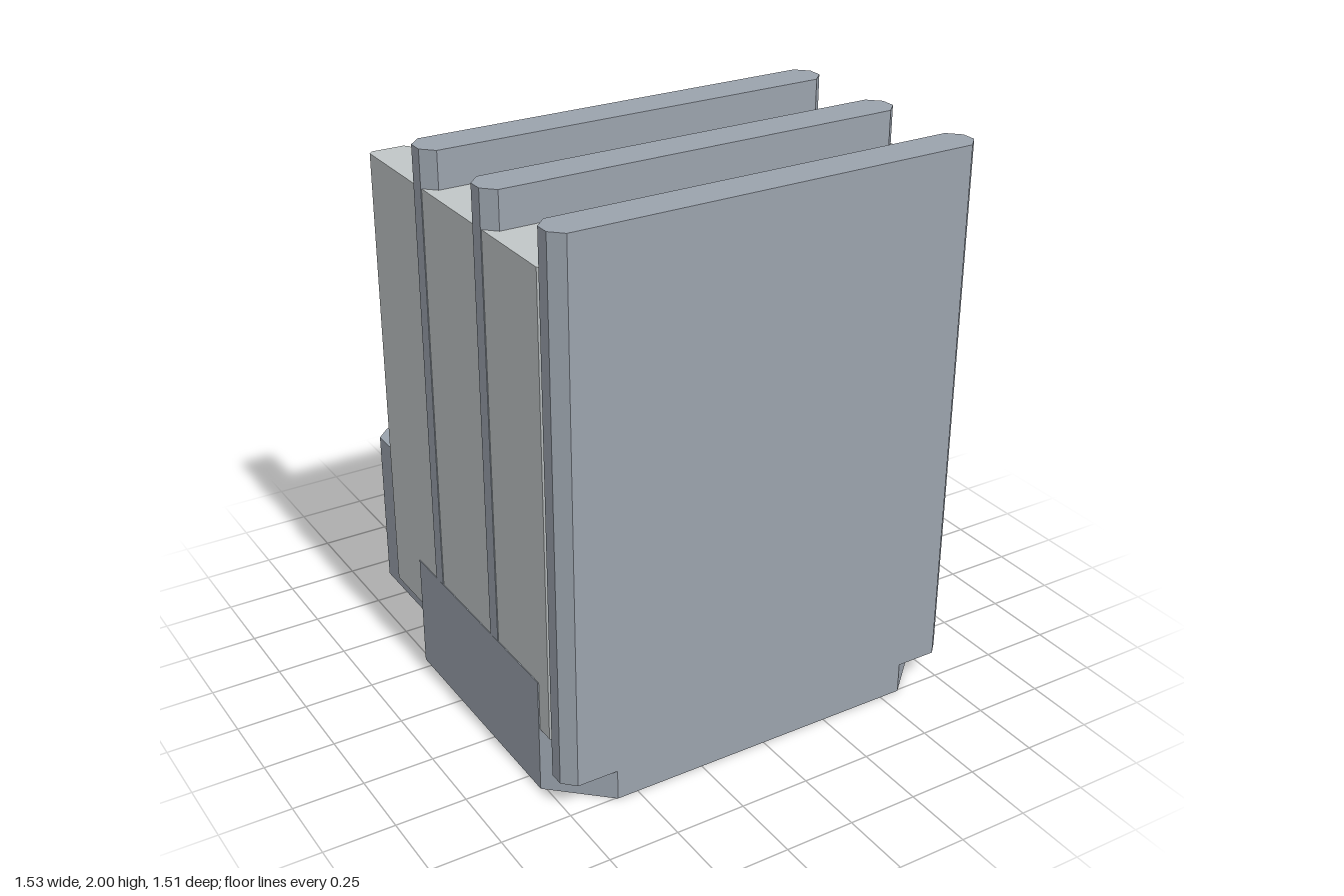
import * as THREE from 'three';

const mat = (name, color) => {
  const m = new THREE.MeshStandardMaterial({ color });
  m.name = name;
  return m;
};

export function createModel() {
  const model = new THREE.Group();
  model.name = 'towerBlock';
  const grey = mat('blue grey concrete', 0x9ba3ad);
  const light = mat('pale panel', 0xc1c6c7);
  const dark = mat('dark slate', 0x455564);
  const cyan = mat('cyan glass', 0x45b1d2);

  // Upright prism from a plan outline of [x, z] points
  const prism = (name, pts, y0, y1, material, parent = model) => {
    const shape = new THREE.Shape(pts.map(([x, z]) => new THREE.Vector2(x, z)));
    const geo = new THREE.ExtrudeGeometry(shape, { depth: y1 - y0, bevelEnabled: false });
    geo.rotateX(Math.PI / 2).translate(0, y1, 0);
    const mesh = new THREE.Mesh(geo, material);
    mesh.name = name;
    parent.add(mesh);
    return mesh;
  };
  // Rectangle plan with cut corners
  const cut = (x0, x1, z0, z1, cx, cz = cx) => [
    [x0 + cx, z0], [x1 - cx, z0], [x1, z0 + cz], [x1, z1 - cz],
    [x1 - cx, z1], [x0 + cx, z1], [x0, z1 - cz], [x0, z0 + cz],
  ];
  const box = (name, x0, x1, y0, y1, z0, z1, material, parent = model) => {
    const mesh = new THREE.Mesh(new THREE.BoxGeometry(x1 - x0, y1 - y0, z1 - z0), material);
    mesh.position.set((x0 + x1) / 2, (y0 + y1) / 2, (z0 + z1) / 2);
    mesh.name = name;
    parent.add(mesh);
    return mesh;
  };

  // Base with wide cut corners, and the dark deck on it
  prism('base', cut(-0.766, 0.766, -0.472, 0.755, 0.19, 0.176), 0, 0.42, grey);
  prism('deck', cut(-0.7, 0.7, -0.472, 0.7, 0.125, 0.116), 0.42, 0.51, dark);

  // Three wide upright slabs
  const slabs = [[0.62, 0.755], [0.208, 0.345], [-0.203, -0.066]];
  for (const [z0, z1] of slabs) {
    prism('slab', cut(-0.765, 0.765, z0, z1, 0.042), 0.11, 2, grey);
  }

  // Side panels, with fillets where they meet the slabs
  for (const s of [-1, 1]) {
    const xs = [0.62 * s, 0.763 * s].sort((a, b) => a - b);
    prism('sidePanel', cut(xs[0], xs[1], -0.517, 0.66, 0.015), 0.24, 1.87, light);
    const corners = [[0.62, -1], [0.345, 1], [0.208, -1], [-0.066, 1], [-0.203, -1]];
    for (const [z, d] of corners) {
      const dz = d * 0.052;
      prism('panelFillet', [[0.63 * s, z], [0.568 * s, z], [0.62 * s, z + dz], [0.63 * s, z + dz]],
        0.24, 1.87, light);
    }
    prism('rearFillet', [[0.63 * s, -0.203], [0.568 * s, -0.203], [0.62 * s, -0.255], [0.63 * s, -0.255]],
      0.24, 1.87, light);
  }

  // Rear annex
  prism('annex', cut(-0.715, -0.275, -0.755, -0.28, 0.05), 0.135, 0.715, grey);

  // Louvred window units on the rear slab
  const windowUnit = (x, y) => {
    const g = new THREE.Group();
    g.name = 'window';
    box('windowBack', -0.12, 0.12, 0, 0.38, -0.222, -0.2, dark, g);
    box('lintel', -0.15, 0.15, 0.345, 0.38, -0.256, -0.2, grey, g);
    box('sill', -0.162, 0.162, 0, 0.025, -0.29, -0.2, grey, g);
    box('sillLedge', -0.085, 0.085, 0.025, 0.05, -0.272, -0.2, light, g);
    for (const s of [-1, 1]) {
      // Jamb with a waist, and an outer cap
      prism('jamb', [[0.085, -0.2], [0.16, -0.2], [0.16, -0.232], [0.15, -0.242], [0.162, -0.256],
        [0.162, -0.272], [0.145, -0.288], [0.1, -0.288], [0.085, -0.272]].map(([a, z]) => [a * s, z]),
        0.02, 0.38, grey, g);
      prism('jambCap', [[0.115, -0.286], [0.168, -0.286], [0.172, -0.304], [0.13, -0.304]]
        .map(([a, z]) => [a * s, z]), 0.01, 0.385, light, g);
    }
    for (let i = 0; i < 5; i++) {
      const slat = box('louvre', -0.088, 0.088, 0, 0.04, -0.272, -0.264, cyan, g);
      slat.position.y = 0.083 + i * 0.063;
      slat.position.z = -0.264;
      slat.rotation.x = -0.4;
    }
    g.position.set(x, y, 0);
    model.add(g);
  };
  for (const x of [-0.398, 0.398]) {
    for (const y of [0.53, 1.0, 1.47]) windowUnit(x, y);
  }
  return model;
}
